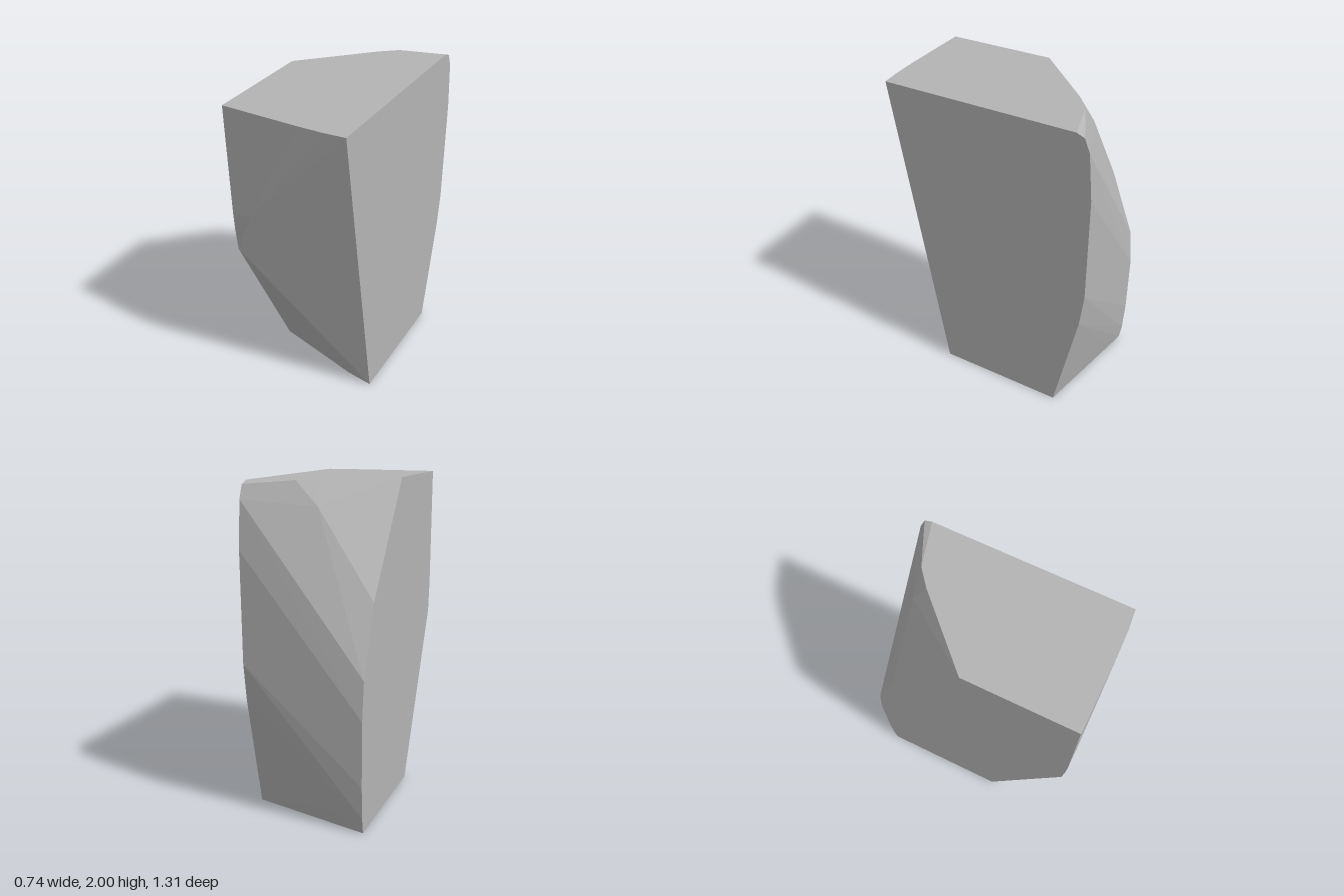
import * as THREE from 'three';
import { ConvexGeometry } from 'three/addons/geometries/ConvexGeometry.js';

export function createModel() {
  const group = new THREE.Group();
  group.name = 'rock';
  const stone = new THREE.MeshStandardMaterial({ color: 0xb4b4b4, flatShading: true });
  stone.name = 'stone grey';

  // flat-cut side outlines as [y, z]
  const H = 0.37;
  const leftCut = [
    [2, 0.64], [0, 0.33], [0, -0.48], [0.73, -0.63], [0.95, -0.655],
    [1.62, -0.655], [1.9, -0.63], [1.98, -0.598], [2, -0.55],
  ];
  const rightCut = [
    [2, 0.657], [1.32, 0.657], [1.2, 0.653], [1.05, 0.64], [0, 0.17], [0, -0.63],
    [0.1, -0.645], [0.3, -0.655], [0.7, -0.655], [0.935, -0.632], [1.345, -0.48], [2, -0.01],
  ];
  // chipped corners between the two cuts as [x, y, z]
  const chips = [
    [0.25, 2, 0.652], [0.1, 2, 0.657], [-0.25, 1.33, 0.657], // front
    [0.2, 0, 0.308], // front foot
    [0, 2, -0.39], [0.1, 2, -0.473], // top back edge
    [-0.03, 1.86, -0.47], [0, 1.44, -0.595], // upper back
    [-0.14, 0.11, -0.607], // lower back
  ];
  const points = [
    ...leftCut.map(([y, z]) => new THREE.Vector3(H, y, z)),
    ...rightCut.map(([y, z]) => new THREE.Vector3(-H, y, z)),
    ...chips.map((p) => new THREE.Vector3(...p)),
  ];

  const block = new THREE.Mesh(new ConvexGeometry(points), stone);
  block.name = 'stoneBlock';
  group.add(block);
  return group;
}
